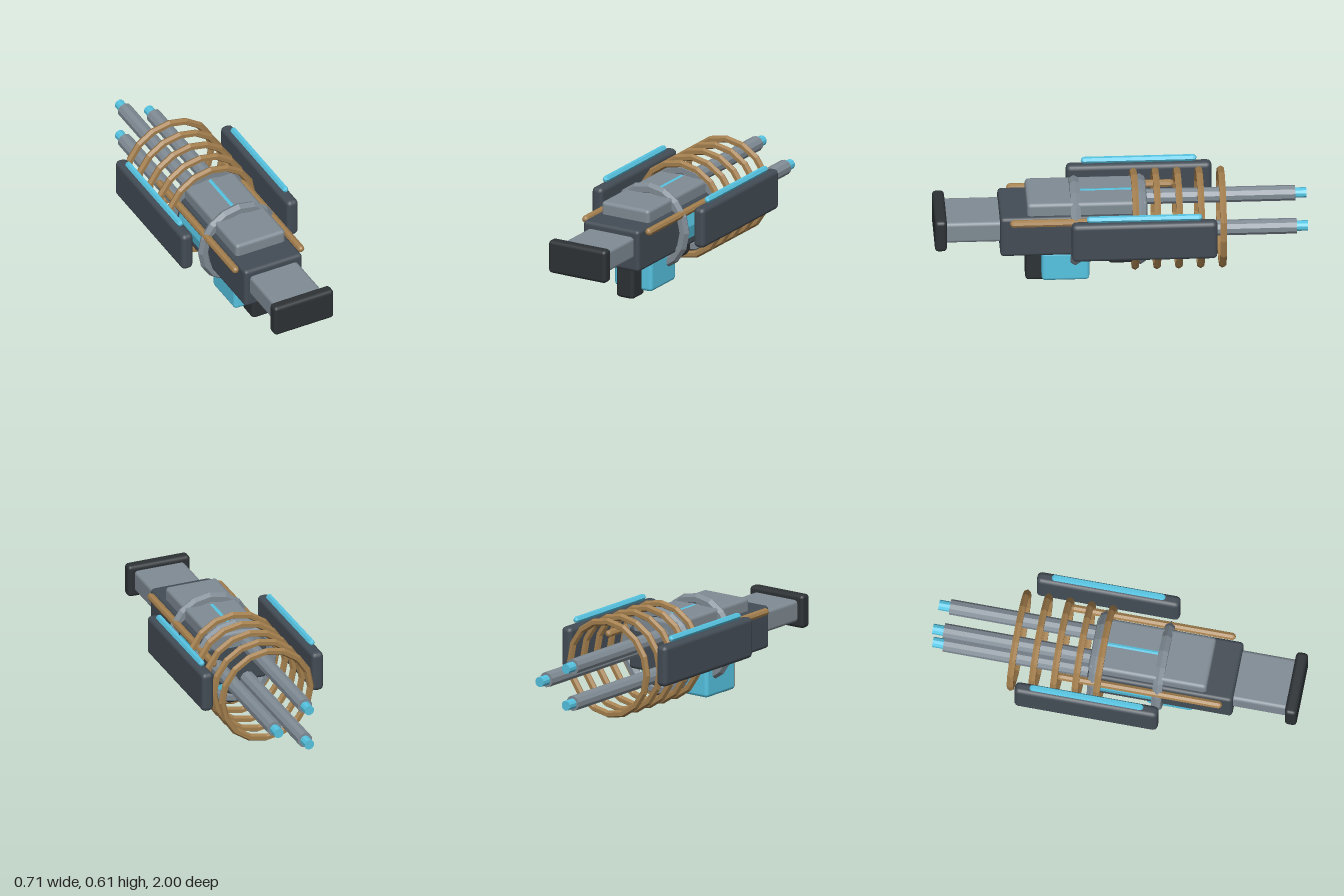
import * as THREE from 'three';
import { RoundedBoxGeometry } from 'three/addons/geometries/RoundedBoxGeometry.js';

const AXIS_Y = 0.337; // height of the barrel axis

const mat = (color, flatShading = false) => new THREE.MeshStandardMaterial({ color, flatShading });
const dark = mat(0x434c55), grey = mat(0x808b94), black = mat(0x2d3235), cyan = mat(0x56c4e2);
const greyFlat = mat(0x808b94, true), goldFlat = mat(0xa47f4e, true), cyanFlat = mat(0x56c4e2, true);

export function createModel() {
  const model = new THREE.Group();
  model.name = 'coilBlaster';

  const add = (name, geometry, material, x = 0, y = 0, z = 0) => {
    const mesh = new THREE.Mesh(geometry, material);
    mesh.name = name;
    mesh.position.set(x, y, z);
    model.add(mesh);
    return mesh;
  };

  // Rounded box given by its extents on each axis
  const box = (name, material, [x0, x1], [y0, y1], [z0, z1], bevel = 0.02) =>
    add(name, new RoundedBoxGeometry(x1 - x0, y1 - y0, z1 - z0, 2, bevel), material,
      (x0 + x1) / 2, (y0 + y1) / 2, (z0 + z1) / 2);

  // Cylinder lying along z
  const rod = (name, material, r, sides, x, y, z0, z1) =>
    add(name, new THREE.CylinderGeometry(r, r, z1 - z0, sides).rotateX(Math.PI / 2), material,
      x, y, (z0 + z1) / 2);

  // Round-ended bar lying along z
  const capsule = (name, material, r, sides, x, y, z0, z1) =>
    add(name, new THREE.CapsuleGeometry(r, z1 - z0 - 2 * r, 3, sides).rotateX(Math.PI / 2), material,
      x, y, (z0 + z1) / 2);

  // Body and stock
  box('receiver', dark, [-0.175, 0.175], [0.22, 0.455], [-0.14, 0.65]);
  box('topCover', grey, [-0.15, 0.15], [0.4, 0.525], [-0.14, 0.505]);
  box('stock', grey, [-0.145, 0.145], [0.295, 0.417], [0.62, 0.95]);
  box('buttPlate', black, [-0.18, 0.18], [0.262, 0.446], [0.935, 1]);

  // Grips and magazine
  box('grip', black, [-0.055, 0.055], [0.003, 0.26], [0.387, 0.51]);
  box('foregrip', black, [-0.05, 0.05], [0.09, 0.27], [-0.12, 0.065]);
  box('magazine', cyan, [-0.118, 0.118], [0.032, 0.206], [0.17, 0.425]);

  // Energy chamber between two collars
  rod('energyChamber', cyanFlat, 0.19, 16, 0, AXIS_Y, -0.08, 0.215);
  for (const z of [0.245, -0.105])
    add('chamberCollar', new THREE.TorusGeometry(0.215, 0.03, 6, 16), greyFlat, 0, AXIS_Y, z);

  // Coil rings around the barrels
  for (let i = 0; i < 5; i++)
    add('coilRing', new THREE.TorusGeometry(0.256, 0.02, 6, 16), goldFlat, 0, AXIS_Y, -0.075 - i * 0.117);

  // Three barrels with glowing tips
  for (let i = 0; i < 3; i++) {
    const a = (i * Math.PI * 2) / 3;
    const x = 0.118 * Math.cos(a), y = AXIS_Y + 0.118 * Math.sin(a);
    rod('barrel', greyFlat, 0.042, 10, x, y, -0.94, -0.1);
    rod('barrelTip', cyanFlat, 0.028, 10, x, y, -1, -0.92);
  }

  // Mirrored side rods, floating plates and light bars
  for (const s of [-1, 1]) {
    capsule('sideRod', goldFlat, 0.021, 8, s * 0.198, 0.438, -0.3, 0.6);
    box('sidePlate', dark, [s * 0.319 - 0.034, s * 0.319 + 0.034], [0.275, 0.5], [-0.505, 0.275], 0.025);
    capsule('lightBar', cyanFlat, 0.018, 6, s * 0.319, 0.522, -0.425, 0.195);
  }
  return model;
}
